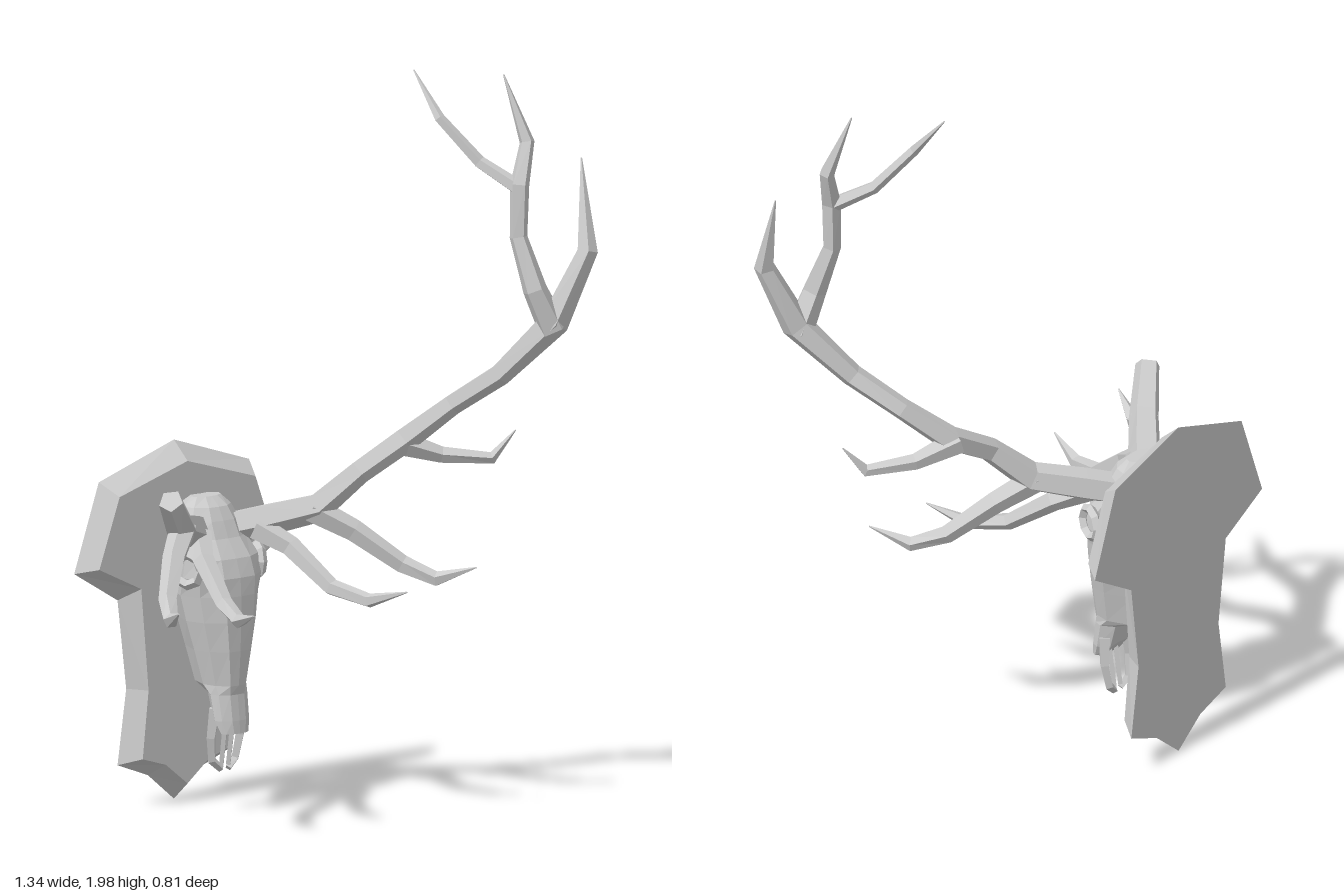
import * as THREE from 'three';

const material = new THREE.MeshStandardMaterial({ color: 0xcccccc, flatShading: true });
const V = (p) => new THREE.Vector3(p[0], p[1], p[2]);

// Skin a list of equal-sized rings, with fan caps; ring order is counterclockwise seen from the last ring
function loft(name, rings, centres = []) {
  const n = rings[0].length;
  const last = rings.length - 1;
  const pos = [];
  const tri = (...pts) => pts.forEach((p) => pos.push(p.x, p.y, p.z));
  for (let i = 0; i < last; i++) {
    for (let j = 0; j < n; j++) {
      const k = (j + 1) % n;
      const [a, b, c, d] = [rings[i][j], rings[i][k], rings[i + 1][k], rings[i + 1][j]];
      tri(a, b, c);
      tri(a, c, d);
    }
  }
  const mean = (r) => r.reduce((s, p) => s.add(p), new THREE.Vector3()).divideScalar(n);
  const c0 = centres[0] || mean(rings[0]);
  const c1 = centres[1] || mean(rings[last]);
  for (let j = 0; j < n; j++) {
    const k = (j + 1) % n;
    tri(c0, rings[0][k], rings[0][j]);
    tri(c1, rings[last][j], rings[last][k]);
  }
  const g = new THREE.BufferGeometry();
  g.setAttribute('position', new THREE.Float32BufferAttribute(pos, 3));
  g.computeVertexNormals();
  const mesh = new THREE.Mesh(g, material);
  mesh.name = name;
  return mesh;
}

// Faceted branch through points [x, y, z, radius]; side = -1 mirrors it
function branch(name, path, side = 1, sides = 5) {
  const pts = path.map((p) => V([p[0] * side, p[1], p[2]]));
  let normal = new THREE.Vector3(0, 0, 1);
  const rings = pts.map((p, i) => {
    const t = pts[Math.min(i + 1, pts.length - 1)].clone().sub(pts[Math.max(i - 1, 0)]).normalize();
    normal = normal.clone().addScaledVector(t, -normal.dot(t)).normalize();
    const bi = t.clone().cross(normal);
    return Array.from({ length: sides }, (_, j) => {
      const a = side * (j / sides) * Math.PI * 2 * side;
      return p.clone()
        .addScaledVector(normal, Math.cos(a) * path[i][3])
        .addScaledVector(bi, Math.sin(a) * path[i][3]);
    });
  });
  return loft(name, rings);
}

// Shield board: half outline [x, y, inset x, inset y] from the bottom point up
function makePlaque() {
  const half = [
    [0, 0.005, 0, 0.055], [0.09, 0.08, 0.075, 0.115], [0.195, 0.12, 0.155, 0.14],
    [0.165, 0.325, 0.135, 0.325], [0.195, 0.57, 0.16, 0.605], [0.345, 0.66, 0.305, 0.675],
    [0.26, 0.9, 0.235, 0.865], [0, 0.985, 0, 0.935],
  ];
  const mirrored = half.slice(1, -1).reverse().map((p) => [-p[0], p[1], -p[2], p[3]]);
  const all = [...half, ...mirrored];
  return loft('plaque',
    [all.map((p) => V([p[0], p[1], -0.4])), all.map((p) => V([p[2], p[3], -0.342]))],
    [V([0, 0.6, -0.4]), V([0, 0.62, -0.342])]);
}

// Skull sections: [y, half width, front z, back z], muzzle to crown
function makeSkull() {
  const sections = [
    [0.225, 0.045, -0.12, -0.165], [0.26, 0.055, -0.122, -0.19], [0.33, 0.058, -0.13, -0.21],
    [0.355, 0.062, -0.125, -0.262], [0.45, 0.085, -0.118, -0.285], [0.53, 0.105, -0.115, -0.305],
    [0.6, 0.118, -0.115, -0.32], [0.65, 0.125, -0.118, -0.285], [0.7, 0.12, -0.135, -0.265],
    [0.75, 0.1, -0.17, -0.29], [0.795, 0.092, -0.19, -0.325], [0.83, 0.075, -0.21, -0.318],
    [0.855, 0.048, -0.24, -0.29],
  ];
  const half = [[0, 0], [0.42, 0.02], [0.85, 0.25], [1, 0.55], [0.65, 1], [0, 0.94]];
  const ring = [...half, ...half.slice(1, -1).reverse().map(([x, t]) => [-x, t])];
  return loft('skull', sections.map(([y, w, f, b]) =>
    ring.map(([x, t]) => V([x * w, y, f + (b - f) * t]))));
}

// Antler parts, relative to the skull's mid line
const lowerBeam = [
  [0.06, 0.765, -0.235, 0.045], [0.125, 0.785, -0.175, 0.046],
  [0.235, 0.82, -0.08, 0.042], [0.325, 0.915, -0.015, 0.034],
];
const upperBeam = [
  [0.455, 0.99, 0.015, 0.036], [0.55, 1.09, 0.105, 0.03], [0.62, 1.18, 0.22, 0.032],
  [0.715, 1.33, 0.335, 0.042], [0.79, 1.52, 0.383, 0.029], [0.825, 1.76, 0.315, 0.002],
];
const lowTines = {
  browTine: [
    [0.1, 0.765, -0.17, 0.038], [0.15, 0.72, -0.09, 0.03], [0.185, 0.625, 0.04, 0.024],
    [0.225, 0.6, 0.15, 0.02], [0.265, 0.635, 0.262, 0.002],
  ],
  secondTine: [
    [0.22, 0.815, -0.09, 0.038], [0.31, 0.755, -0.02, 0.032], [0.405, 0.665, 0.07, 0.026],
    [0.46, 0.63, 0.15, 0.021], [0.515, 0.67, 0.25, 0.002],
  ],
};
const highTines = {
  thirdTine: [
    [0.44, 0.985, 0, 0.036], [0.55, 0.945, 0.06, 0.023], [0.66, 0.935, 0.14, 0.017],
    [0.71, 1.01, 0.177, 0.002],
  ],
  fourthTine: [
    [0.71, 1.31, 0.335, 0.042], [0.66, 1.42, 0.32, 0.034], [0.64, 1.56, 0.275, 0.025],
    [0.648, 1.7, 0.27, 0.027], [0.69, 1.81, 0.25, 0.021], [0.66, 1.988, 0.188, 0.002],
  ],
  fifthTine: [
    [0.648, 1.69, 0.27, 0.022], [0.59, 1.755, 0.17, 0.018], [0.522, 1.87, 0.085, 0.015],
    [0.515, 1.988, -0.015, 0.002],
  ],
};

function makeAntler(name, side, broken) {
  const antler = new THREE.Group();
  antler.name = name;
  antler.add(branch('beam', broken ? lowerBeam : [...lowerBeam, ...upperBeam], side));
  const tines = broken ? lowTines : { ...lowTines, ...highTines };
  for (const [key, path] of Object.entries(tines)) antler.add(branch(key, path, side));
  return antler;
}

export function createModel() {
  const model = new THREE.Group();
  model.name = 'mountedSkull';
  const trophy = new THREE.Group();
  trophy.name = 'trophy';
  trophy.position.x = -0.155;
  model.add(trophy);

  trophy.add(makePlaque(), makeSkull());

  for (const side of [1, -1]) {
    const label = side > 0 ? 'left' : 'right';
    // Bony ring around the eye
    const rim = new THREE.Mesh(new THREE.TorusGeometry(0.042, 0.014, 4, 8), material);
    rim.name = label + 'EyeSocketRim';
    rim.position.set(side * 0.122, 0.675, -0.195);
    rim.rotation.y = side * 1.2;
    trophy.add(rim);
    // Forked bones at the end of the muzzle
    trophy.add(branch(label + 'MuzzleBone', [
      [0.042, 0.29, -0.175, 0.02], [0.05, 0.21, -0.182, 0.015],
      [0.04, 0.145, -0.19, 0.013], [0.012, 0.12, -0.185, 0.01],
    ], side, 4));
    trophy.add(branch(label + 'InnerMuzzleBone', [
      [0.013, 0.26, -0.165, 0.009], [0.012, 0.13, -0.185, 0.008],
    ], side, 4));
    trophy.add(makeAntler(label + 'Antler', side, side < 0));
  }
  return model;
}
